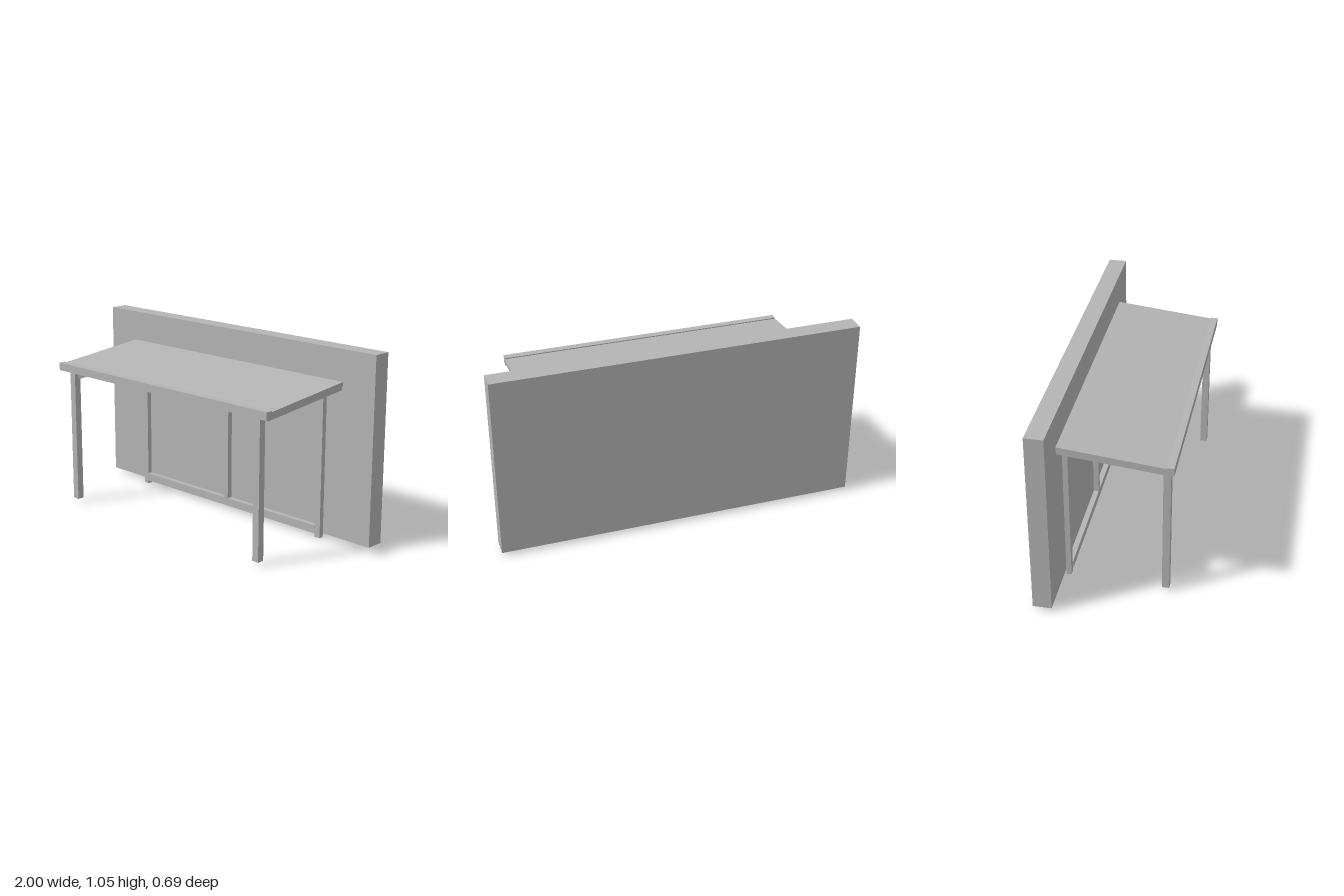
import * as THREE from 'three';

const grey = new THREE.MeshStandardMaterial({ color: 0xb4b4b4 });
grey.name = 'plain grey';

export function createModel() {
  const model = new THREE.Group();
  model.name = 'patioCanopy';

  const add = (name, geometry) => {
    const mesh = new THREE.Mesh(geometry, grey);
    mesh.name = name;
    model.add(mesh);
    return mesh;
  };

  // box given by its lower and upper limits on each axis
  const box = (name, x0, x1, y0, y1, z0, z1) =>
    add(name, new THREE.BoxGeometry(x1 - x0, y1 - y0, z1 - z0))
      .position.set((x0 + x1) / 2, (y0 + y1) / 2, (z0 + z1) / 2);

  // straight prism from a side profile, centred on its width
  const prism = (points, width) => {
    const shape = new THREE.Shape(points.map(([u, v]) => new THREE.Vector2(u, v)));
    return new THREE.ExtrudeGeometry(shape, { depth: width, bevelEnabled: false })
      .translate(0, 0, -width / 2);
  };
  // profile points are [z, y], extruded along x
  const alongX = (name, points, x, width) =>
    add(name, prism(points, width).rotateY(-Math.PI / 2).translate(x, 0, 0));

  // house wall
  box('wall', -1, 1, 0.02, 1.05, -0.345, -0.245);

  // sloping roof sheet and front fascia
  alongX('roofSheet', [[0.31, 0.797], [0.31, 0.819], [-0.245, 0.877], [-0.245, 0.855]], 0, 1.59);
  box('fascia', -0.795, 0.795, 0.781, 0.825, 0.306, 0.345);

  // rafters under the roof, with a small foot behind the fascia
  for (const side of [-1, 1]) {
    const x = side * 0.765;
    alongX('rafter', [[0.31, 0.777], [0.31, 0.797], [-0.245, 0.855], [-0.245, 0.833]], x, 0.05);
    box('rafterFoot', x - 0.022, x + 0.022, 0.775, 0.785, 0.306, 0.328);
  }
  // shallow tapered rib carrying the rear half
  alongX('rearRib', [[0, 0.8], [0, 0.83], [-0.245, 0.855], [-0.245, 0.834]], 0, 0.04);

  // front posts and diagonal knee braces
  for (const side of [-1, 1]) {
    const x = side * 0.71;
    box('post', x - 0.02, x + 0.02, 0.02, 0.799, 0.281, 0.32);
    const brace = prism([[0, 0.732], [0.24, 0.8], [0.24, 0.815], [0.205, 0.815], [0, 0.757]], 0.025);
    brace.rotateY(side > 0 ? Math.PI * 0.75 : Math.PI * 0.25).translate(x, 0, 0.3);
    add('kneeBrace', brace);
  }

  // door frame against the wall
  for (const side of [-1, 1]) {
    const x = side * 0.677;
    box('doorJamb', x - 0.017, x + 0.017, 0, 0.792, -0.241, -0.213);
  }
  box('doorHeader', -0.66, 0.66, 0.755, 0.78, -0.241, -0.214);
  box('doorSill', -0.66, 0.66, 0.02, 0.065, -0.245, -0.21);
  box('doorMullion', -0.014, 0.014, 0.065, 0.755, -0.243, -0.21);
  box('doorPanel', -0.677, 0.677, 0.02, 0.76, -0.248, -0.24);

  return model;
}
